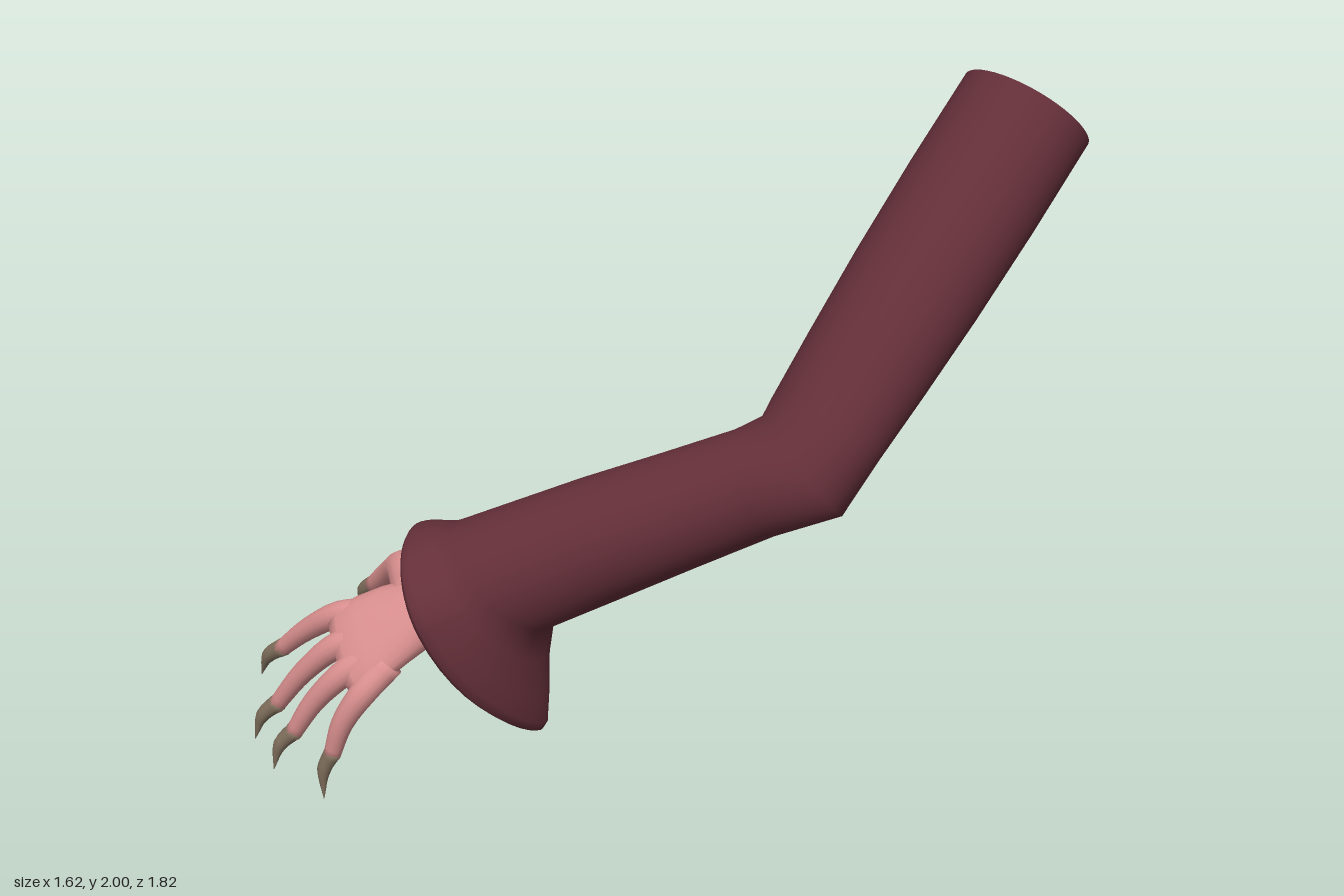
import * as THREE from 'three';

const V = (x, y, z) => new THREE.Vector3(x, y, z);
const mat = (name, color, side = THREE.FrontSide) => {
  const m = new THREE.MeshStandardMaterial({ color, side });
  m.name = name;
  return m;
};

// Smooth skin over closed rings of points; rings turn counterclockwise about the travel direction
function loft(rings, capStart = false, capEnd = false) {
  const n = rings[0].length, pos = [], idx = [];
  rings.forEach(r => r.forEach(p => pos.push(p.x, p.y, p.z)));
  for (let i = 0; i < rings.length - 1; i++) {
    for (let j = 0; j < n; j++) {
      const k = (j + 1) % n, a = i * n + j, b = i * n + k;
      idx.push(a, b, a + n, b, b + n, a + n);
    }
  }
  const cap = (ring, base, flip) => {
    const c = ring.reduce((s, p) => s.add(p), V(0, 0, 0)).divideScalar(n);
    const m = pos.push(c.x, c.y, c.z) / 3 - 1;
    for (let j = 0; j < n; j++) {
      const a = base + j, b = base + (j + 1) % n;
      idx.push(m, flip ? b : a, flip ? a : b);
    }
  };
  if (capStart) cap(rings[0], 0, true);
  if (capEnd) cap(rings[rings.length - 1], (rings.length - 1) * n, false);
  const g = new THREE.BufferGeometry();
  g.setAttribute('position', new THREE.Float32BufferAttribute(pos, 3));
  g.setIndex(idx);
  g.computeVertexNormals();
  return g;
}

// Ellipse around c, facing along dir; ref gives the first half-axis
function ring(c, dir, ref, ru, rv, n) {
  const d = dir.clone().normalize();
  const u = ref.clone().addScaledVector(d, -ref.dot(d)).normalize();
  const v = d.clone().cross(u);
  return Array.from({ length: n }, (_, i) => {
    const t = i / n * Math.PI * 2;
    return c.clone().addScaledVector(u, Math.cos(t) * ru).addScaledVector(v, Math.sin(t) * rv);
  });
}

// Tapering tube through points, with a radius for each; flat squeezes it along its second axis
function taper(points, radii, ref, steps = 12, sides = 14, flat = 1) {
  const curve = new THREE.CatmullRomCurve3(points);
  const rings = [];
  for (let i = 0; i <= steps; i++) {
    const t = i / steps, f = t * (radii.length - 1);
    const k = Math.min(Math.floor(f), radii.length - 2);
    const r = THREE.MathUtils.lerp(radii[k], radii[k + 1], f - k);
    rings.push(ring(curve.getPoint(t), curve.getTangent(t), ref, r, r * flat, sides));
  }
  return loft(rings, true, true);
}

export function createModel() {
  const model = new THREE.Group();
  const cloth = mat('sleeve maroon', 0x642f39, THREE.DoubleSide);
  const skin = mat('skin pink', 0xde9392);
  const horn = mat('claw brown', 0x83725f);
  const add = (parent, name, geo, m) => {
    const mesh = new THREE.Mesh(geo, m);
    mesh.name = name;
    parent.add(mesh);
  };

  // Sleeve: open shoulder end, mitred elbow, forearm
  const N = 48, ref = V(1, -1, 0);
  const shoulder = V(0.68, 1.88, 0.72), elbow = V(-0.07, 1.07, 0.575);
  const cuff = V(-0.55, 0.61, -0.27);
  const upperDir = elbow.clone().sub(shoulder).normalize();
  const foreDir = V(-0.457, -0.423, -0.783).normalize();
  const rings = [];
  for (const [t, ru, rv] of [[0, 0.173, 0.19], [0.25, 0.175, 0.19], [0.5, 0.17, 0.185], [0.72, 0.158, 0.176], [0.9, 0.146, 0.166]]) {
    rings.push(ring(shoulder.clone().lerp(elbow, t), upperDir, ref, ru, rv, N));
  }
  rings.push(ring(elbow, upperDir.clone().add(foreDir), ref, 0.143, 0.175, N));
  const wristEnd = V(-0.47, 0.7, -0.11);
  for (const [t, r] of [[0.15, 0.147], [0.4, 0.156], [0.65, 0.167]]) {
    rings.push(ring(elbow.clone().lerp(wristEnd, t), foreDir, ref, r, r, N));
  }

  // Cuff: flares to a teardrop rim that hangs down, then folds back inside
  const side = V(0.863, 0, -0.504).normalize();
  const up = side.clone().cross(foreDir).negate();
  if (up.y < 0) up.negate();
  const unit = ring(V(0, 0, 0), foreDir, ref, 1, 1, N);
  const cuffRing = (t, radial, scale) => unit.map(d => {
    const cs = d.dot(side), cu = d.dot(up), low = cu < 0;
    const rimS = 0.247 * Math.sign(cs) * Math.pow(Math.abs(cs), low ? 1.4 : 1);
    const rimU = cu * (low ? 0.457 : 0.205);
    const rimA = low ? -0.08 * cu * cu : 0;
    const lerp = THREE.MathUtils.lerp;
    return cuff.clone()
      .addScaledVector(side, lerp(cs * 0.177, rimS, radial) * scale)
      .addScaledVector(up, lerp(cu * 0.177, rimU, radial) * scale)
      .addScaledVector(foreDir, lerp(-0.19 + 0.07 * cu, rimA, t));
  });
  for (const [t, radial, scale] of [[0, 0, 1], [0.3, 0.3, 1], [0.6, 0.7, 1], [0.8, 0.94, 1], [0.93, 1, 1], [1, 0.98, 0.97], [1, 0.95, 0.92], [0.75, 0.8, 0.9], [0.3, 0.3, 0.88]]) {
    rings.push(cuffRing(t, radial, scale));
  }
  add(model, 'sleeve', loft(rings), cloth);

  // Palm, from the wrist inside the cuff to the knuckles
  const hand = new THREE.Group();
  hand.name = 'hand';
  model.add(hand);
  const across = V(0.374, 0.55, -0.748);
  const handDir = V(-0.13, -0.15, -0.19);
  const palm = [
    [V(-0.49, 0.65, -0.19), 0.085, 0.07], [V(-0.57, 0.56, -0.32), 0.1, 0.068],
    [V(-0.61, 0.515, -0.385), 0.12, 0.06], [V(-0.65, 0.47, -0.44), 0.135, 0.053],
    [V(-0.685, 0.43, -0.49), 0.135, 0.043], [V(-0.7, 0.41, -0.515), 0.115, 0.026],
  ].map(([c, w, h]) => ring(c, handDir, across, w, h, 24));
  add(hand, 'palm', loft(palm, true, true), skin);

  // Digits: root, knuckle, joint, claw base, claw tip
  const digits = [
    ['indexFinger', [V(-0.6, 0.52, -0.47), V(-0.63, 0.49, -0.58), V(-0.64, 0.405, -0.71), V(-0.645, 0.31, -0.82)], V(-0.645, 0.2, -0.91)],
    ['middleFinger', [V(-0.645, 0.48, -0.44), V(-0.69, 0.435, -0.53), V(-0.72, 0.33, -0.64), V(-0.737, 0.19, -0.75)], V(-0.76, 0.07, -0.82)],
    ['ringFinger', [V(-0.665, 0.45, -0.4), V(-0.725, 0.385, -0.47), V(-0.76, 0.28, -0.56), V(-0.78, 0.16, -0.635)], V(-0.81, 0.04, -0.69)],
    ['littleFinger', [V(-0.67, 0.43, -0.35), V(-0.73, 0.35, -0.395), V(-0.762, 0.25, -0.45), V(-0.77, 0.14, -0.49)], V(-0.785, 0.0, -0.515)],
    ['thumb', [V(-0.53, 0.585, -0.37), V(-0.47, 0.6, -0.48), V(-0.435, 0.555, -0.57), V(-0.405, 0.465, -0.685)], V(-0.39, 0.37, -0.755)],
  ];
  for (const [name, path, tip] of digits) {
    const radii = name === 'thumb' ? [0.075, 0.055, 0.038, 0.025] : [0.04, 0.038, 0.031, 0.024];
    add(hand, name, taper(path, radii, across), skin);
    const base = path[3].clone().lerp(path[2], 0.12);
    const mid = base.clone().lerp(tip, 0.5).add(V(-0.004, 0.012, -0.014));
    add(hand, name + 'Claw', taper([base, mid, tip], [0.027, 0.021, 0.001], across, 8, 12, 0.9), horn);
  }
  return model;
}
